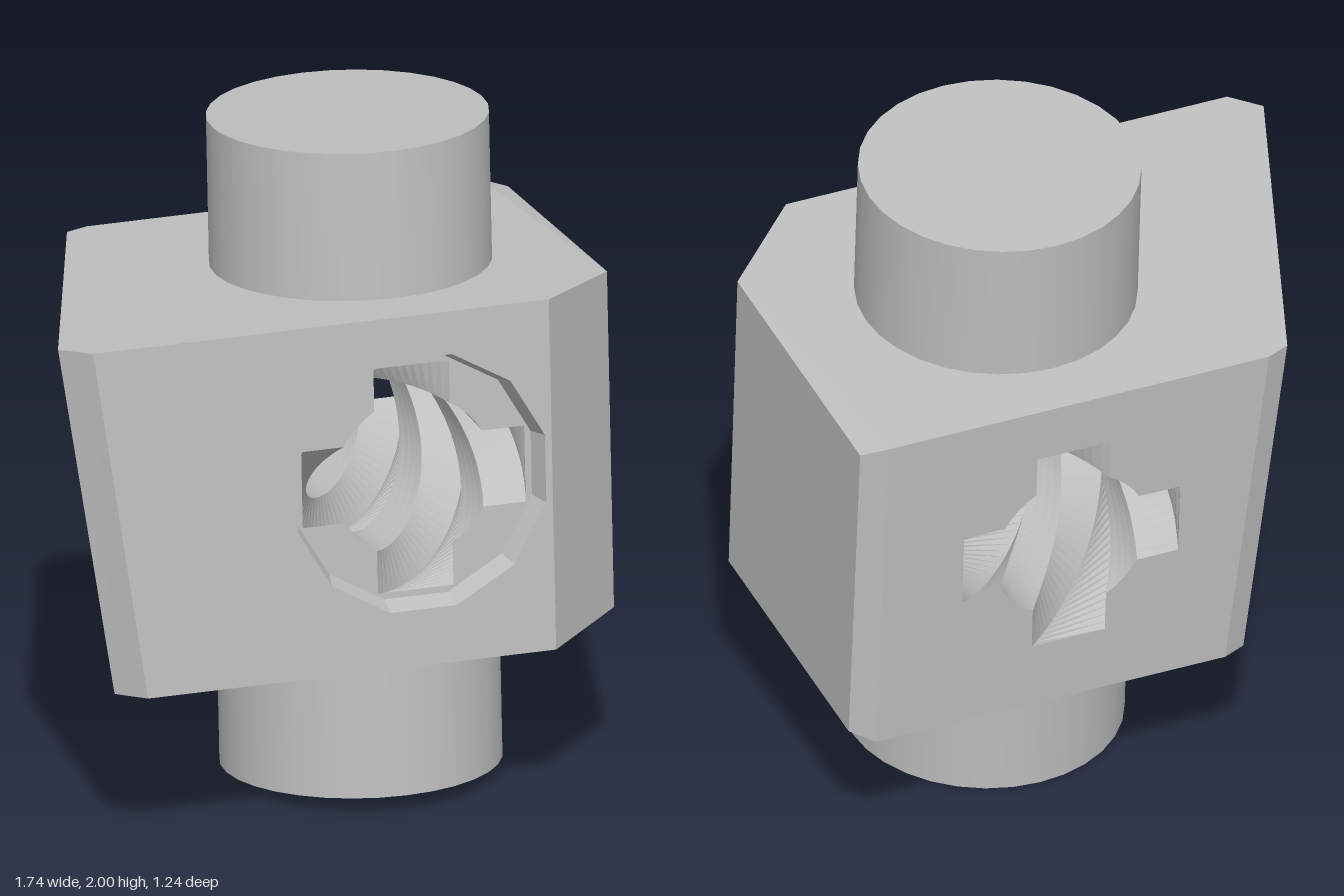
import * as THREE from 'three';

const grey = new THREE.MeshStandardMaterial({ color: 0xbfbfbf });
grey.name = 'plain grey';

const HALF_H = 0.53, FRONT = 0.59, BACK = -0.59, FLOOR = 0.52;
const BORE = new THREE.Vector2(0.2, 0.02);

// Faceted mesh from a list of Vector3 corners, three per face
function facets(name, corners) {
  const geometry = new THREE.BufferGeometry().setFromPoints(corners);
  geometry.computeVertexNormals();
  const mesh = new THREE.Mesh(geometry, grey);
  mesh.name = name;
  return mesh;
}

// Wall between two closed rings; inward walls face the middle
function wall(a, b, inward = false, skip = []) {
  const out = [];
  a.forEach((p, i) => {
    if (skip.includes(i)) return;
    const j = (i + 1) % a.length;
    if (inward) out.push(p, a[j], b[i], a[j], b[j], b[i]);
    else out.push(p, b[i], a[j], a[j], b[i], b[j]);
  });
  return out;
}

// Flat plate at depth z with one hole, facing forward or backward
function plate(name, outline, hole, z, backward = false) {
  const shape = new THREE.Shape(outline);
  shape.holes.push(new THREE.Path(hole));
  const flat = new THREE.ShapeGeometry(shape).toNonIndexed();
  const pos = flat.attributes.position, pts = [];
  for (let i = 0; i < pos.count; i += 3) {
    for (const k of backward ? [0, 2, 1] : [0, 1, 2]) {
      pts.push(new THREE.Vector3(pos.getX(i + k), pos.getY(i + k), z));
    }
  }
  return facets(name, pts);
}

const at = (ring, z) => ring.map(p => new THREE.Vector3(p.x, p.y, z));

// Twelve-sided ring around the bore
function dodecagon(r) {
  return Array.from({ length: 12 }, (_, i) => {
    const t = (i + 0.5) * Math.PI / 6;
    return new THREE.Vector2(BORE.x + r * Math.cos(t), BORE.y + r * Math.sin(t));
  });
}

// Round core with four square slots, turned by an angle
function slottedRing(turn) {
  const core = 0.24, half = 0.115, tip = 0.34, pts = [];
  const a = Math.asin(half / core);
  for (let k = 0; k < 4; k++) {
    const arm = [new THREE.Vector2(tip, -half), new THREE.Vector2(tip, half)];
    for (let s = 0; s <= 4; s++) {
      const t = a + (Math.PI / 2 - 2 * a) * s / 4;
      arm.push(new THREE.Vector2(core * Math.cos(t), core * Math.sin(t)));
    }
    const origin = new THREE.Vector2();
    arm.forEach(p => pts.push(p.rotateAround(origin, turn + k * Math.PI / 2).add(BORE)));
  }
  return pts;
}

export function createModel() {
  const model = new THREE.Group();
  model.name = 'slottedBlock';

  // Block corners as [x, z], running from the left edge round the front
  const topPlan = [[-0.87, 0.51], [-0.79, 0.59], [0.6, 0.59], [0.865, 0.33],
    [0.865, -0.56], [0.79, -0.59], [-0.41, -0.59], [-0.48, -0.56]];
  const bottomPlan = [[-0.72, 0.51], [-0.645, 0.59], [0.6, 0.59], [0.865, 0.33],
    [0.865, -0.54], [0.8, -0.59], [-0.3, -0.59], [-0.37, -0.56]];
  const ringOf = (plan, sign) => plan.map(([x, z]) =>
    new THREE.Vector3(x, sign * (x > 0.85 ? HALF_H - 0.022 : HALF_H), z));
  const top = ringOf(topPlan, 1), bottom = ringOf(bottomPlan, -1);

  // Side walls, leaving out the front and back, which carry holes
  model.add(facets('blockSides', wall(top, bottom, false, [1, 5])));

  // Top and bottom faces
  const upper = [], lower = [];
  for (let s = 1; s < 7; s++) {
    const i = (5 + s) % 8, j = (6 + s) % 8;
    upper.push(top[5], top[i], top[j]);
    lower.push(bottom[5], bottom[j], bottom[i]);
  }
  model.add(facets('blockTop', upper), facets('blockBottom', lower));

  // Front face, counterbore and its floor, back face
  const face = (i, j) => [bottom[i], bottom[j], top[j], top[i]].map(p => new THREE.Vector2(p.x, p.y));
  const rim = dodecagon(0.393), seat = dodecagon(0.372);
  model.add(plate('frontFace', face(1, 2), rim, FRONT));
  model.add(facets('counterboreWall', wall(at(rim, FRONT), at(seat, FLOOR), true)));
  model.add(plate('counterboreFloor', seat, slottedRing(0), FLOOR));
  model.add(plate('backFace', face(6, 5), slottedRing(0), BACK, true));

  // Bore whose four slots make half a turn on the way through
  const steps = 48, bore = [];
  const section = s => at(slottedRing(Math.PI * s / steps), FLOOR + (BACK - FLOOR) * s / steps);
  for (let s = 0; s < steps; s++) {
    for (const p of wall(section(s), section(s + 1), true)) bore.push(p);
  }
  model.add(facets('twistedBore', bore));

  // Round stubs above and below
  for (const [name, sign] of [['topStub', 1], ['bottomStub', -1]]) {
    const stub = new THREE.Mesh(new THREE.CylinderGeometry(0.41, 0.41, 0.47, 32), grey);
    stub.name = name;
    stub.position.set(0.195, sign * 0.74, 0);
    model.add(stub);
  }

  // Whole piece leans slightly back
  model.rotation.x = -0.0625;
  model.position.y = 1;
  const root = new THREE.Group();
  root.name = 'model';
  root.add(model);
  return root;
}
